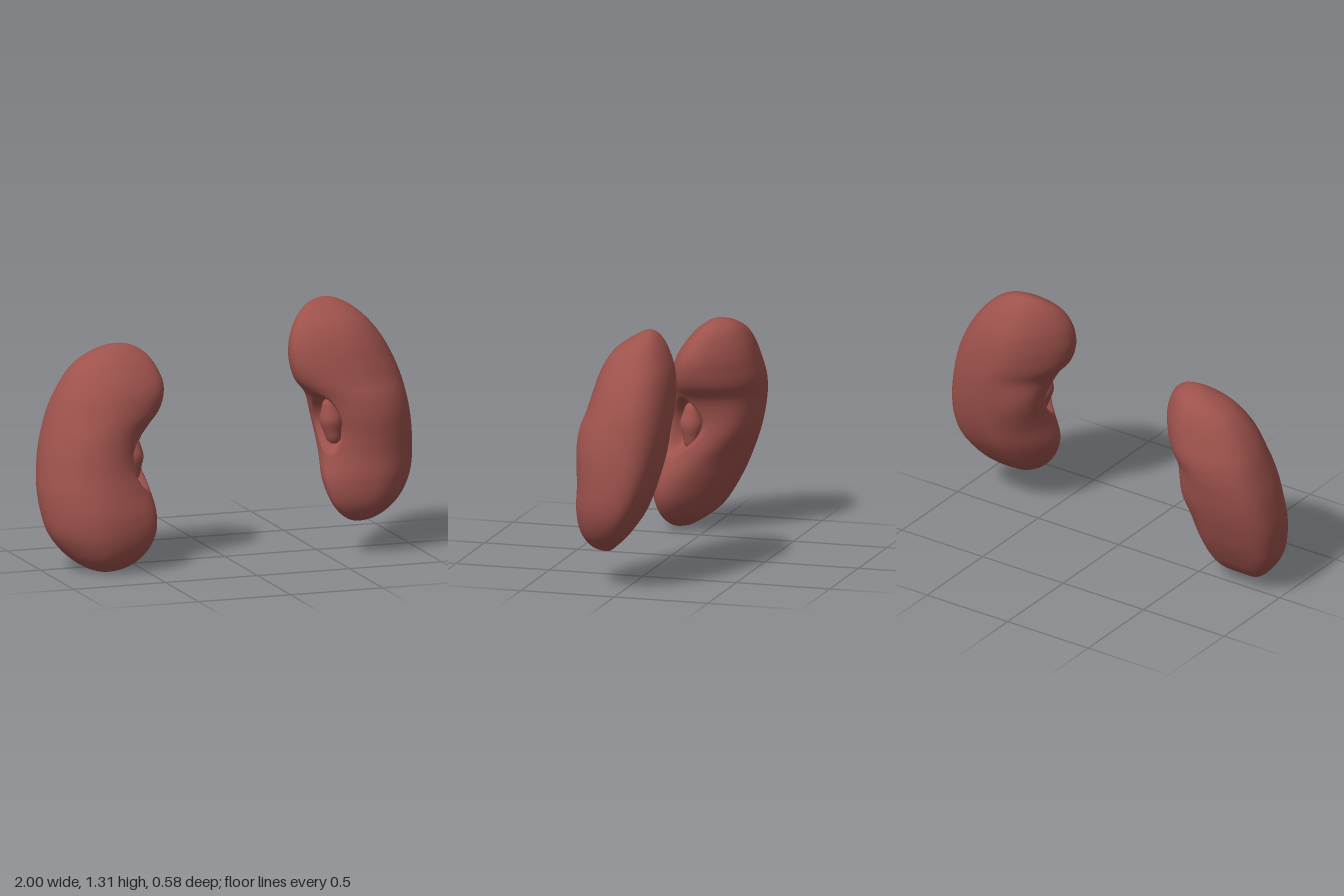
import * as THREE from 'three';
import { mergeVertices } from 'three/addons/utils/BufferGeometryUtils.js';

// Horizontal sections, top to bottom: [y, inner x, outer x, front z, back z]
const LEFT = [
  [1.308, 0.56, 0.56, -0.055, -0.055],
  [1.28, 0.455, 0.665, 0.02, -0.11],
  [1.2, 0.372, 0.77, 0.128, -0.16],
  [1.1, 0.335, 0.85, 0.185, -0.195],
  [1.0, 0.335, 0.905, 0.215, -0.207],
  [0.9, 0.372, 0.945, 0.24, -0.207],
  [0.83, 0.43, 0.963, 0.262, -0.202],
  [0.74, 0.462, 0.982, 0.274, -0.19],
  [0.62, 0.485, 0.997, 0.27, -0.167],
  [0.54, 0.488, 1.0, 0.267, -0.145],
  [0.4, 0.483, 0.982, 0.275, -0.088],
  [0.3, 0.512, 0.93, 0.265, -0.02],
  [0.2, 0.59, 0.81, 0.212, 0.075],
  [0.17, 0.68, 0.68, 0.145, 0.145],
];
const RIGHT = [
  [1.135, -0.54, -0.54, -0.09, -0.09],
  [1.11, -0.445, -0.65, -0.02, -0.18],
  [1.04, -0.378, -0.775, 0.06, -0.235],
  [0.9, -0.34, -0.88, 0.15, -0.277],
  [0.8, -0.37, -0.925, 0.18, -0.292],
  [0.72, -0.43, -0.95, 0.2, -0.285],
  [0.62, -0.458, -0.977, 0.22, -0.265],
  [0.52, -0.457, -0.992, 0.24, -0.24],
  [0.42, -0.442, -1.0, 0.265, -0.205],
  [0.3, -0.425, -0.99, 0.29, -0.155],
  [0.2, -0.435, -0.965, 0.29, -0.1],
  [0.1, -0.488, -0.897, 0.265, -0.03],
  [0.03, -0.575, -0.81, 0.215, 0.065],
  [0.0, -0.7, -0.7, 0.145, 0.145],
];

// Section at polar angle t (0 top, PI bottom): a cubic through the rows, which
// are reflected past each pole so that the ends stay round
function sectionSampler(rows) {
  const top = rows[0][0], low = rows[rows.length - 1][0];
  const mid = (top + low) / 2, half = (top - low) / 2;
  const keys = rows.map(([y, a, b, f, k]) => ({ t: Math.acos((y - mid) / half), v: [a, b, f, k] }));
  const mirrored = ({ t, v: [a, b, f, k] }, pole) => ({ t: 2 * pole - t, v: [b, a, k, f] });
  const all = [mirrored(keys[1], 0), ...keys, mirrored(keys[keys.length - 2], Math.PI)];
  const slope = (i, c) => {
    const [p, q, r] = [all[i - 1], all[i], all[i + 1]];
    const h0 = q.t - p.t, h1 = r.t - q.t;
    return ((q.v[c] - p.v[c]) / h0 * h1 + (r.v[c] - q.v[c]) / h1 * h0) / (h0 + h1);
  };
  return (t) => {
    let i = 1;
    while (i < keys.length - 1 && all[i + 1].t < t) i++;
    const p = all[i], q = all[i + 1], h = q.t - p.t, s = (t - p.t) / h;
    const value = (c) =>
      p.v[c] * (1 + 2 * s) * (1 - s) ** 2 + q.v[c] * s * s * (3 - 2 * s) +
      h * s * (1 - s) * (slope(i, c) * (1 - s) - slope(i + 1, c) * s);
    return [mid + half * Math.cos(t), value(0), value(1), value(2), value(3)];
  };
}

// Bean body with a pit (hilum) on the inner front side
function kidneyGeometry(rows, pitY, pitHalfHeight) {
  const N = 144, M = 144, PIT_ANGLE = 0.44, PIT_WIDTH = 0.42, pos = [], idx = [];
  const innerIsPlusX = rows[4][1] > rows[4][2];
  const section = sectionSampler(rows);
  for (let i = 0; i <= N; i++) {
    const [y, inner, outer, front, back] = section((i / N) * Math.PI);
    const xc = (inner + outer) / 2, rx = (inner - outer) / 2;
    const zc = (front + back) / 2, rz = (front - back) / 2;
    const hilum = Math.exp(-(((y - pitY) / 0.2) ** 2));
    const outerTurn = 0.08 + 0.72 * (i / N) ** 3;
    for (let j = 0; j < M; j++) {
      const a = (j / M) * Math.PI * 2;
      const u = Math.cos(a), v = Math.sin(a);
      const wIn = Math.max(u, 0) ** 2, wOut = Math.max(-u, 0) ** 2;
      // lobes turn forward on the inner edge; the rear lip of the hilum and the outer edge turn back
      let x = xc + rx * u;
      let z = zc + rz * (Math.sign(v) * Math.abs(v) ** 0.87 * (1 - 0.26 * wIn * (1 - hilum))
        + (0.35 - 0.45 * hilum) * wIn - outerTurn * wOut);
      const da = Math.atan2(Math.sin(a - PIT_ANGLE), Math.cos(a - PIT_ANGLE)) / PIT_WIDTH;
      const d = Math.hypot(da, (y - pitY) / pitHalfHeight);
      const pit = 0.3 * (1 - THREE.MathUtils.smoothstep(d, 0.66, 1.04));
      x += (xc - x) * pit;
      z += (zc - z) * pit;
      pos.push(x, y, z);
    }
  }
  for (let i = 0; i < N; i++) {
    for (let j = 0; j < M; j++) {
      const a = i * M + j, b = i * M + ((j + 1) % M), c = a + M, e = b + M;
      if (innerIsPlusX) idx.push(a, b, c, b, e, c);
      else idx.push(a, c, b, b, c, e);
    }
  }
  let geo = new THREE.BufferGeometry();
  geo.setAttribute('position', new THREE.Float32BufferAttribute(pos, 3));
  geo.setIndex(idx);
  geo = mergeVertices(geo, 1e-5);
  geo.computeVertexNormals();
  return geo;
}

export function createModel() {
  const flesh = new THREE.MeshStandardMaterial({ color: 0x9e524c });
  flesh.name = 'kidney red';
  const model = new THREE.Group();
  model.name = 'kidneys';

  const addKidney = (name, rows, pit, tilt) => {
    const group = new THREE.Group();
    group.name = name;
    const body = new THREE.Mesh(kidneyGeometry(rows, pit[1], 0.155), flesh);
    body.name = name + 'Body';

    // soft swelling of tissue on the floor of the hilum
    const swelling = new THREE.SphereGeometry(1, 32, 24);
    const p = swelling.attributes.position;
    for (let i = 0; i < p.count; i++) {
      const r = 0.056 * (1 + 0.07 * Math.sin(6 * p.getY(i) + 1));
      p.setXYZ(i, p.getX(i) * r, p.getY(i) * 0.125, p.getZ(i) * r);
    }
    swelling.computeVertexNormals();
    const pelvis = new THREE.Mesh(swelling, flesh);
    pelvis.name = name + 'Pelvis';
    pelvis.position.set(...pit);
    pelvis.rotation.z = tilt;

    group.add(body, pelvis);
    model.add(group);
  };

  addKidney('leftKidney', LEFT, [0.545, 0.69, 0.1], 0.15);
  addKidney('rightKidney', RIGHT, [-0.522, 0.565, 0.052], 0);
  return model;
}
